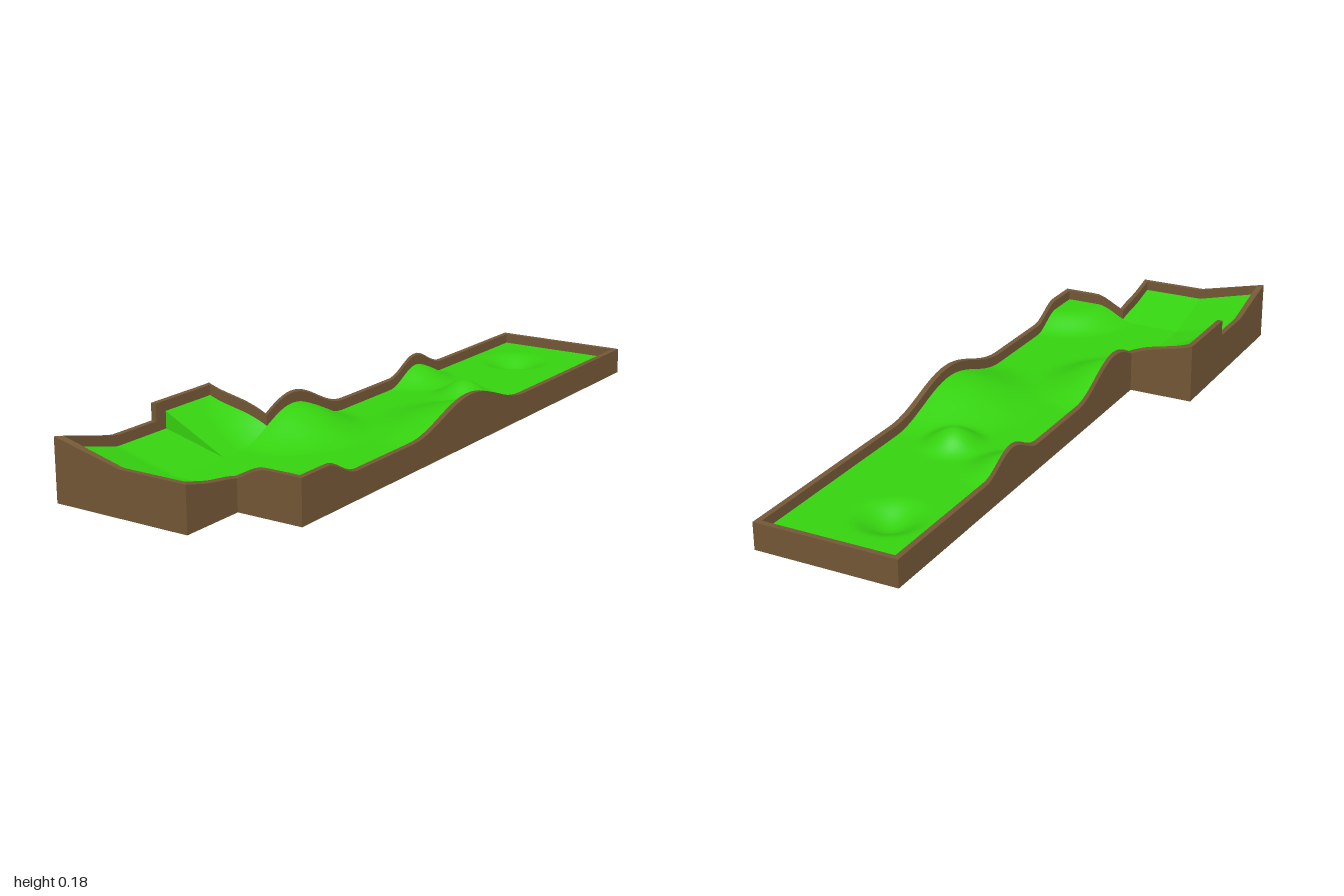
import * as THREE from 'three';

const RAIL = 0.03, BASE = 0.05, STEP_Z = 0.585;
const clamp01 = (v) => Math.min(1, Math.max(0, v));

// Round mounds and one hollow: x, z, radius, height
const mounds = [
  [0.05, -0.77, 0.12, -0.04],
  [-0.1, -0.39, 0.15, 0.05],
  [0.125, -0.31, 0.115, 0.05],
  [0.3, -0.03, 0.31, 0.07],
  [-0.1, 0.27, 0.25, 0.08],
];

// Height of the grass at a point; the raised bank is twice as steep
function groundHeight(x, z, raised = false) {
  let y = BASE;
  for (const [mx, mz, r, h] of mounds) {
    const d = Math.hypot(x - mx, z - mz);
    if (d < r) y += h * 0.5 * (1 + Math.cos((Math.PI * d) / r));
  }
  y += (raised ? 0.1 : 0.05) * clamp01((-0.098 - x) / 0.2); // side bank
  y += 0.05 * clamp01((z - 0.783) / 0.2); // front bank
  const corner = Math.hypot(x - 0.3, z - 0.785); // raised corner
  return y + 0.048 * THREE.MathUtils.smoothstep(0.24 - corner, 0, 0.13);
}

function makeGeometry(positions, index) {
  const g = new THREE.BufferGeometry();
  g.setAttribute('position', new THREE.Float32BufferAttribute(positions, 3));
  g.setIndex(index);
  g.computeVertexNormals();
  return g;
}

// Rectangular patch of grass following the height rule
function grassPatch(x0, x1, z0, z1, raised) {
  const nx = Math.ceil((x1 - x0) / 0.0125), nz = Math.ceil((z1 - z0) / 0.0125);
  const positions = [], index = [];
  for (let j = 0; j <= nz; j++) {
    for (let i = 0; i <= nx; i++) {
      const x = x0 + ((x1 - x0) * i) / nx, z = z0 + ((z1 - z0) * j) / nz;
      positions.push(x, groundHeight(x, z, raised), z);
      if (i < nx && j < nz) {
        const a = j * (nx + 1) + i, b = a + nx + 1;
        index.push(a, b, a + 1, b, b + 1, a + 1);
      }
    }
  }
  return makeGeometry(positions, index);
}

// Rail path corners: outer x, outer z, inner x, inner z, raised from here on
const corners = [
  [-0.115, -1, -0.098, -0.983],
  [0.315, -1, 0.298, -0.983],
  [0.315, 0.8, 0.298, 0.783],
  [0.115, 0.8, 0.098, 0.783],
  [0.115, 1, 0.098, 0.983],
  [-0.315, 1, -0.298, 0.983],
  [-0.315, 0.625, -0.298, 0.625, true],
  [-0.315, 0.375, -0.298, 0.392, true],
  [-0.115, 0.375, -0.098, 0.392],
];

// Outer skirt, top and inner face of the rail, swept around the course
function railGeometry() {
  const sections = [];
  corners.forEach((a, k) => {
    const b = corners[(k + 1) % corners.length];
    const n = Math.ceil(Math.hypot(b[0] - a[0], b[1] - a[1]) / 0.02);
    for (let i = 0; i <= n; i++) {
      const [ox, oz, ix, iz] = [0, 1, 2, 3].map((m) => a[m] + ((b[m] - a[m]) * i) / n);
      const top = groundHeight(ix, iz, a[4]) + RAIL;
      sections.push([[ox, 0, oz], [ox, top, oz], [ix, top, iz], [ix, groundHeight(ix, iz), iz]]);
    }
  });
  const positions = [], index = [];
  for (let face = 0; face < 3; face++) {
    const start = positions.length / 3;
    sections.forEach((s, i) => {
      positions.push(...s[face], ...s[face + 1]);
      if (i === sections.length - 1) return;
      const p = start + i * 2;
      index.push(p, p + 1, p + 2, p + 1, p + 3, p + 2);
    });
  }
  const g = makeGeometry(positions, index).toNonIndexed();
  g.computeVertexNormals();
  return g;
}

// Upright wedge closing the end of the raised bank
function stepGeometry() {
  const positions = [], index = [], n = 12;
  for (let i = 0; i <= n; i++) {
    const x = -0.298 + (0.2 * i) / n;
    positions.push(x, groundHeight(x, STEP_Z), STEP_Z, x, groundHeight(x, STEP_Z, true), STEP_Z);
    const p = i * 2;
    if (i < n) index.push(p, p + 2, p + 1, p + 1, p + 2, p + 3);
  }
  return makeGeometry(positions, index);
}

export function createModel() {
  const green = new THREE.MeshStandardMaterial({ color: 0x35d20f, side: THREE.DoubleSide });
  const brown = new THREE.MeshStandardMaterial({ color: 0x735736, side: THREE.DoubleSide });
  const model = new THREE.Group();
  model.name = 'golfCourse';
  const add = (name, geometry, material) => {
    const mesh = new THREE.Mesh(geometry, material);
    mesh.name = name;
    model.add(mesh);
  };

  add('fairway', grassPatch(-0.098, 0.298, -0.983, 0.783), green);
  add('raisedBank', grassPatch(-0.298, -0.098, 0.392, STEP_Z, true), green);
  add('sideBank', grassPatch(-0.298, -0.098, STEP_Z, 0.983), green);
  add('frontBank', grassPatch(-0.098, 0.098, 0.783, 0.983), green);
  add('bankStep', stepGeometry(), green);
  add('rail', railGeometry(), brown);
  return model;
}
